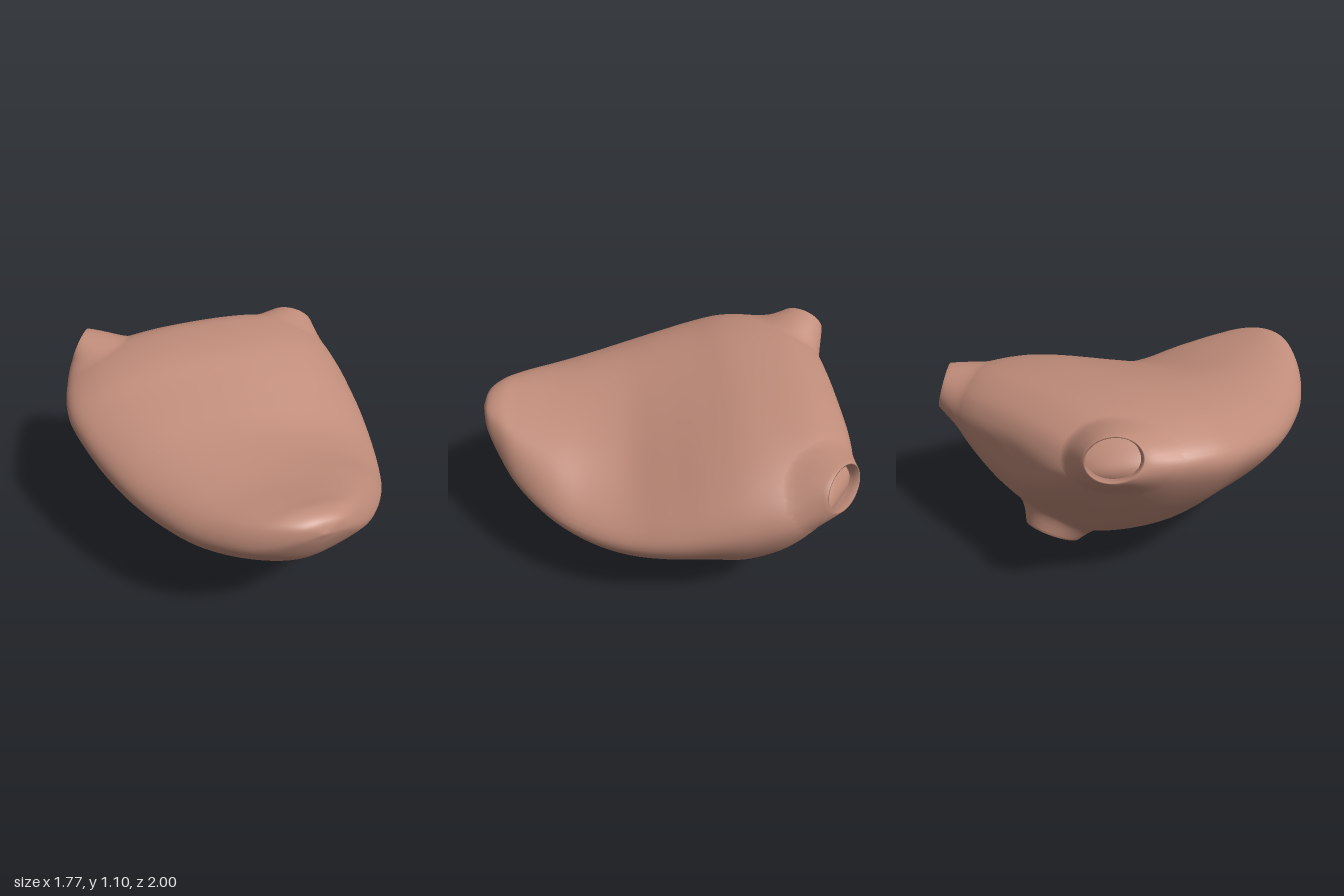
import * as THREE from 'three';
import { mergeVertices } from 'three/addons/utils/BufferGeometryUtils.js';

const tissue = new THREE.MeshStandardMaterial({ color: 0xc08c7a, side: THREE.DoubleSide });
tissue.name = 'pinkTissue';

// Cross-sections from front to back: z, left point, right point, top point, bottom point (x, y each)
const SECTIONS = [
  [1.0, -0.1, 0.82, -0.1, 0.82, -0.1, 0.82, -0.1, 0.82],
  [0.97, -0.23, 0.8, 0.05, 0.78, -0.11, 0.88, -0.1, 0.73],
  [0.9, -0.355, 0.75, 0.18, 0.69, -0.12, 0.905, -0.1, 0.6],
  [0.8, -0.47, 0.71, 0.33, 0.61, -0.16, 0.897, -0.08, 0.485],
  [0.6, -0.615, 0.67, 0.53, 0.54, -0.22, 0.885, -0.03, 0.335],
  [0.4, -0.71, 0.67, 0.655, 0.51, -0.26, 0.9, 0, 0.22],
  [0.2, -0.785, 0.69, 0.745, 0.52, -0.29, 0.93, 0.03, 0.135],
  [0, -0.835, 0.72, 0.81, 0.56, -0.3, 0.975, 0.06, 0.085],
  [-0.2, -0.87, 0.77, 0.85, 0.61, -0.28, 1.02, 0.1, 0.06],
  [-0.4, -0.88, 0.81, 0.875, 0.66, -0.24, 1.065, 0.12, 0.033],
  [-0.6, -0.825, 0.85, 0.875, 0.72, -0.2, 1.075, 0.12, 0.11],
  [-0.75, -0.745, 0.87, 0.825, 0.77, -0.15, 1.06, 0.12, 0.275],
  [-0.85, -0.65, 0.88, 0.71, 0.79, -0.12, 1.02, 0.12, 0.41],
  [-0.92, -0.55, 0.87, 0.6, 0.79, -0.1, 0.97, 0.1, 0.52],
  [-0.965, -0.4, 0.84, 0.44, 0.79, -0.05, 0.89, 0.05, 0.64],
  [-0.975, 0, 0.78, 0, 0.78, 0, 0.78, 0, 0.78],
];

// Rounded, lopsided outline of one section, with a shallow hollow in the upper right
function sectionRing([z, xl, yl, xr, yr, xt, yt, xb, yb], count) {
  const diagonal = (x1, y1, x2, y2, cx, cy, k) => new THREE.Vector3(
    THREE.MathUtils.lerp((x1 + x2) / 2, cx, k), THREE.MathUtils.lerp((y1 + y2) / 2, cy, k), z);
  const upperRight = 0.45 - 0.22 * Math.exp(-(((z - 0.25) / 0.38) ** 2));
  const lowerRight = 0.3 + 0.08 * THREE.MathUtils.smoothstep(z, -0.2, 0.5);
  const points = [
    new THREE.Vector3(xt, yt, z), diagonal(xt, yt, xr, yr, xr, yt, upperRight),
    new THREE.Vector3(xr, yr, z), diagonal(xr, yr, xb, yb, xr, yb, lowerRight),
    new THREE.Vector3(xb, yb, z), diagonal(xb, yb, xl, yl, xl, yb, 0.22),
    new THREE.Vector3(xl, yl, z), diagonal(xl, yl, xt, yt, xl, yt, 0.55),
  ];
  const curve = new THREE.CatmullRomCurve3(points, true, 'catmullrom', 0.5);
  return Array.from({ length: count }, (_, i) => curve.getPoint(i / count));
}

// Smooth surface through a list of closed rings
function skin(rings) {
  const around = rings[0].length;
  const positions = [], indices = [];
  rings.forEach((ring, s) => ring.forEach((p, i) => {
    positions.push(p.x, p.y, p.z);
    if (s === rings.length - 1) return;
    const a = s * around + i, b = s * around + (i + 1) % around;
    indices.push(a, b, a + around, b, b + around, a + around);
  }));
  const geometry = new THREE.BufferGeometry();
  geometry.setAttribute('position', new THREE.Float32BufferAttribute(positions, 3));
  geometry.setIndex(indices);
  const merged = mergeVertices(geometry, 1e-5);
  merged.computeVertexNormals();
  return merged;
}

function createBody(around = 72, along = 90) {
  const rings = SECTIONS.map((s) => sectionRing(s, around));
  const columns = rings[0].map((_, i) =>
    new THREE.CatmullRomCurve3(rings.map((r) => r[i]), false, 'centripetal'));
  const body = new THREE.Mesh(
    skin(Array.from({ length: along + 1 }, (_, s) => columns.map((c) => c.getPoint(s / along)))), tissue);
  body.name = 'body';
  return body;
}

// Open duct that rises smoothly out of the body surface to an oval mouth
function createDuct(body, { name, mouth, direction, radiusX, radiusY, spread }) {
  const around = 48, steps = 14, depth = 0.5;
  const axis = new THREE.Vector3(...direction).normalize();
  const centre = new THREE.Vector3(...mouth);
  const anchor = centre.clone().addScaledVector(axis, -depth);
  const u = new THREE.Vector3(0, 1, 0).cross(axis).normalize();
  const v = axis.clone().cross(u);
  const ray = new THREE.Raycaster();
  const mouthPoint = (i, scale) => {
    const angle = i / around * Math.PI * 2;
    return centre.clone()
      .addScaledVector(u, Math.cos(angle) * radiusX * scale)
      .addScaledVector(v, Math.sin(angle) * radiusY * scale);
  };
  const surfaceDistance = (target) => {
    ray.set(anchor, target.clone().sub(anchor).normalize());
    return ray.intersectObject(body)[0].distance;
  };
  const ring = (makePoint) => Array.from({ length: around }, (_, i) => makePoint(i));

  // Flared outer wall, from the body surface to the mouth
  const rings = [];
  for (let s = 0; s <= steps; s++) {
    const t = 1 - s / steps;
    rings.push(ring((i) => {
      const rim = mouthPoint(i, 1);
      const rise = rim.distanceTo(anchor) - surfaceDistance(rim);
      const target = mouthPoint(i, 1 + spread * t);
      const reach = surfaceDistance(target) + rise * (1 - t) ** 2.2;
      return target.sub(anchor).setLength(reach).add(anchor);
    }));
  }
  // Thin rim and inner wall
  for (const [scale, inset] of [[0.95, 0], [0.92, 0.03], [0.9, 0.15]]) {
    rings.push(ring((i) => mouthPoint(i, scale).addScaledVector(axis, -inset)));
  }
  const duct = new THREE.Mesh(skin(rings), tissue);
  duct.name = name;
  return duct;
}

const DUCTS = [
  { name: 'leftUpperDuct', mouth: [0.755, 0.855, -0.84], direction: [0.66, 0.28, -0.69], radiusX: 0.15, radiusY: 0.115, spread: 1.7 },
  { name: 'rightUpperDuct', mouth: [-0.65, 1.0, -0.89], direction: [-0.77, 0.36, -0.57], radiusX: 0.135, radiusY: 0.105, spread: 2 },
  { name: 'lowerDuct', mouth: [0.12, 0.095, -0.66], direction: [0, -0.83, -0.56], radiusX: 0.145, radiusY: 0.17, spread: 1.2 },
];

export function createModel() {
  const model = new THREE.Group();
  model.name = 'hollowOrgan';
  const body = createBody();
  model.add(body, ...DUCTS.map((options) => createDuct(body, options)));
  return model;
}
